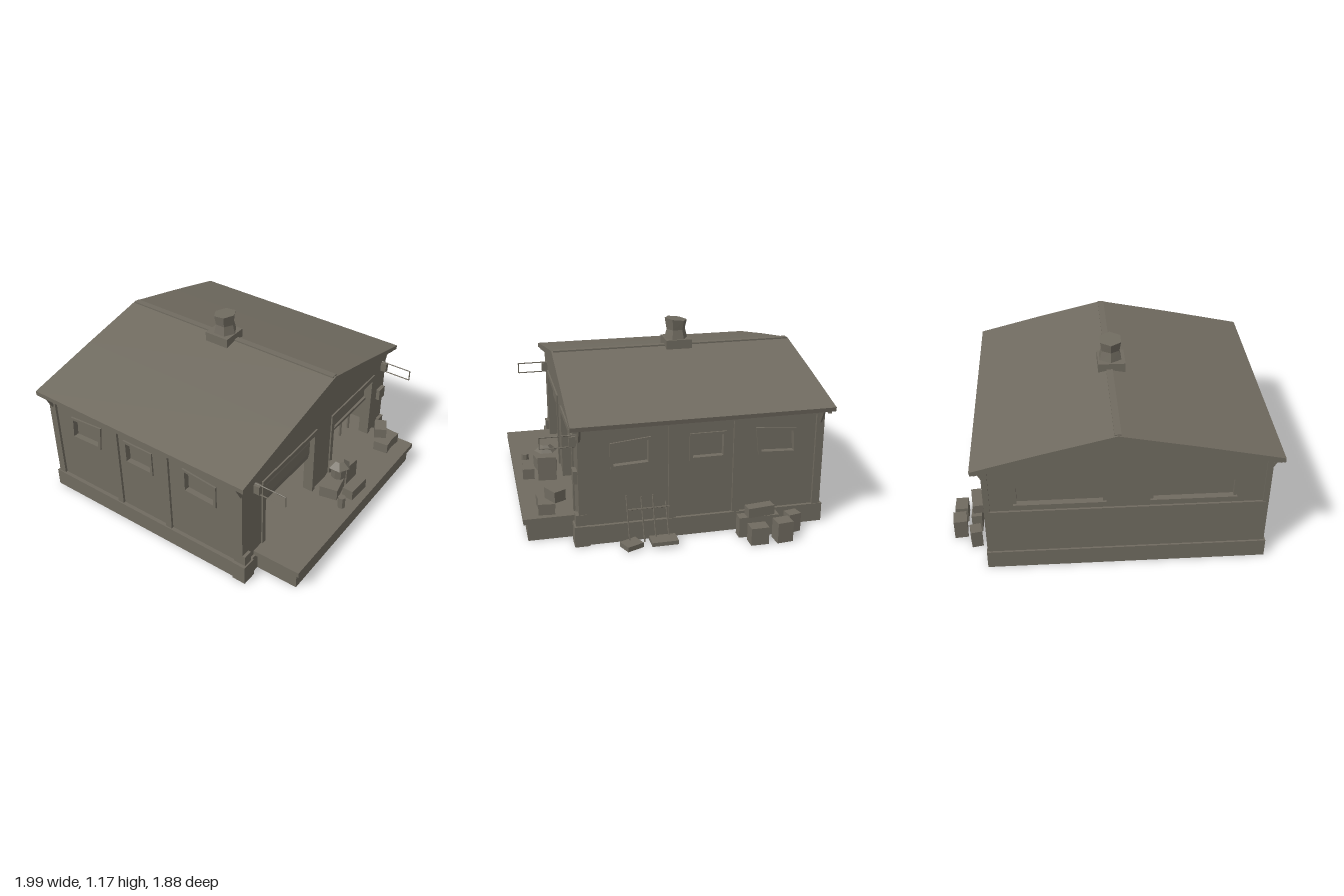
import * as THREE from 'three';

export function createModel() {
  const root = new THREE.Group();
  root.name = 'workshop';
  const stone = new THREE.MeshStandardMaterial({ color: 0x706b60, flatShading: true });
  stone.name = 'weathered grey brown';

  const add = (name, geo, parent = root) => {
    const m = new THREE.Mesh(geo, stone);
    m.name = name;
    parent.add(m);
    return m;
  };
  // box given by its limits on each axis
  const box = (name, x0, x1, y0, y1, z0, z1, parent) => {
    const m = add(name, new THREE.BoxGeometry(x1 - x0, y1 - y0, z1 - z0), parent);
    m.position.set((x0 + x1) / 2, (y0 + y1) / 2, (z0 + z1) / 2);
    return m;
  };
  // round bar between two points
  const bar = (name, a, b, r, parent) => {
    const p = new THREE.Vector3(...a), q = new THREE.Vector3(...b);
    const m = add(name, new THREE.CylinderGeometry(r, r, p.distanceTo(q), 5), parent);
    m.position.copy(p).add(q).multiplyScalar(0.5);
    m.quaternion.setFromUnitVectors(new THREE.Vector3(0, 1, 0), q.sub(p).normalize());
    return m;
  };
  const poly = (pts) => pts.map(([x, y]) => new THREE.Vector2(x, y));
  const rect = (u0, u1, v0, v1) => [[u0, v0], [u1, v0], [u1, v1], [u0, v1]];
  const plate = (outline, holes, depth) => {
    const s = new THREE.Shape(poly(outline));
    holes.forEach((h) => s.holes.push(new THREE.Path(poly(h))));
    return new THREE.ExtrudeGeometry(s, { depth, bevelEnabled: false });
  };

  // base and front platform
  box('plinth', -0.955, 0.76, 0, 0.12, -0.91, 0.635);
  box('platformBase', -0.81, 0.63, 0, 0.12, 0.6, 0.915);
  box('platformSlab', -0.83, 0.645, 0.115, 0.15, 0.6, 0.94);
  box('insideFloor', -0.91, 0.72, 0.1, 0.15, -0.87, 0.61);
  for (const [x0, x1] of [[-0.965, -0.87], [0.68, 0.775]]) {
    box('cornerBlock', x0, x1, 0, 0.13, 0.56, 0.65);
    box('cornerFoot', x0 + 0.02, x1 - 0.015, 0.12, 0.2, 0.575, 0.64);
  }

  // gabled front and back walls
  const gable = [[-0.93, 0.1], [0.74, 0.1], [0.74, 0.77], [-0.03, 0.965], [-0.93, 0.775]];
  const doors = [[-0.72, -0.18, 0.61], [0.06, 0.56, 0.6]];
  const front = add('frontWall', plate(gable, doors.map(([a, b, t]) => rect(a, b, 0.15, t)), 0.06));
  front.position.z = 0.56;
  const backWindows = [[-0.73, -0.25], [0.05, 0.56]];
  const back = add('backWall', plate(gable, backWindows.map(([a, b]) => rect(a, b, 0.48, 0.6)), 0.04));
  back.position.z = -0.885;
  box('backLowerPanel', -0.935, 0.745, 0.1, 0.43, -0.898, -0.88);
  for (const [a, b] of backWindows) {
    box('backWindowPane', a - 0.01, b + 0.01, 0.47, 0.61, -0.86, -0.852);
    box('backWindowSill', a - 0.02, b + 0.02, 0.46, 0.48, -0.9, -0.87);
  }

  // door frames and half-raised doors
  for (const [a, b, t] of doors) {
    add('doorFrame', plate(
      [[a - 0.03, 0.15], [a, 0.15], [a, t], [b, t], [b, 0.15], [b + 0.03, 0.15], [b + 0.03, t + 0.035], [a - 0.03, t + 0.035]],
      [], 0.015)).position.z = 0.615;
  }
  const bulge = [[0, 0.4], [0.025, 0.41], [0.035, 0.46], [0.035, 0.54], [0.02, 0.6], [0, 0.63], [-0.02, 0.63], [-0.02, 0.4]];
  const leftRoll = add('raisedDoor', plate(bulge, [], 0.56).rotateY(Math.PI / 2));
  leftRoll.geometry.scale(1, 1, -1);
  leftRoll.geometry.dispose();
  // rolled sheet: the profile runs along x
  leftRoll.geometry = plate(bulge.map(([d, y]) => [d, y]), [], 0.56).rotateY(-Math.PI / 2);
  leftRoll.position.set(-0.17, 0, 0.56);
  box('raisedDoor', 0.05, 0.57, 0.44, 0.62, 0.55, 0.575);
  box('raisedDoorRail', 0.06, 0.56, 0.435, 0.455, 0.565, 0.59);

  // side walls, windows and posts
  const sideWindows = [
    [[0.2, 0.5], [0.41, 0.49], [0.41, 0.615], [0.2, 0.64]],
    rect(-0.26, -0.07, 0.5, 0.635),
    [[-0.71, 0.49], [-0.5, 0.5], [-0.48, 0.64], [-0.7, 0.62]],
  ];
  for (const s of [-1, 1]) {
    const face = s > 0 ? 0.74 : -0.93;
    const side = new THREE.Group();
    side.name = s > 0 ? 'leftSide' : 'rightSide';
    root.add(side);
    const wall = add('sideWall', plate(rect(-0.88, 0.6, 0.1, 0.775), sideWindows, 0.04).rotateY(-Math.PI / 2), side);
    wall.position.x = s > 0 ? face : face + 0.04;
    const span = (d0, d1) => [face + s * d0, face + s * d1].sort((p, q) => p - q);
    for (const w of sideWindows) {
      const c = w.reduce((t, p) => [t[0] + p[0] / 4, t[1] + p[1] / 4], [0, 0]);
      const rim = w.map(([u, v]) => [u + Math.sign(u - c[0]) * 0.018, v + Math.sign(v - c[1]) * 0.018]);
      const frame = add('windowFrame', plate(rim, [w], 0.012).rotateY(-Math.PI / 2), side);
      frame.position.x = s > 0 ? face + 0.011 : face + 0.001;
      box('windowPane', ...span(-0.034, -0.026), 0.48, 0.65, c[0] - 0.13, c[0] + 0.13, side);
    }
    for (const [z, w] of [[0.59, 0.06], [0.055, 0.045], [-0.345, 0.045], [-0.87, 0.05]])
      box('sidePost', ...span(-0.02, 0.016), 0.1, 0.76, z - w / 2, z + w / 2, side);
    box('eaveBeam', ...span(-0.01, 0.025), 0.72, 0.765, -0.88, 0.62, side);
    // struts under the eaves
    for (const z of [0.61, -0.87])
      bar('eaveStrut', [face, 0.65, z], [face + s * 0.055, 0.755, z], 0.012, side);
  }

  // roof slab with a shallow ridge and eave trim
  const roof = add('roof', plate(
    [[-1, 0.755], [-0.03, 0.953], [0.81, 0.745], [0.815, 0.772], [0.4, 0.882], [-0.03, 0.988], [-0.5, 0.893], [-1, 0.785]],
    [], 1.605));
  roof.position.z = -0.94;
  const trim = [[-0.985, 0.738], [-0.03, 0.935], [0.795, 0.728], [0.795, 0.752], [-0.03, 0.96], [-0.985, 0.762]];
  for (const z of [0.625, -0.92]) add('gableTrim', plate(trim, [], 0.022)).position.z = z;
  box('ridgeCap', -0.05, -0.01, 0.965, 0.993, -0.93, 0.655);

  // chimney with a crooked hood
  box('chimneyBase', -0.13, 0.04, 0.93, 1.03, -0.25, -0.08);
  const hood = new THREE.CylinderGeometry(0.075, 0.08, 0.135, 6, 2);
  const hp = hood.attributes.position;
  for (let i = 0; i < hp.count; i++) {
    const y = hp.getY(i);
    if (Math.abs(y) < 0.01) { hp.setX(i, hp.getX(i) * 0.82); hp.setZ(i, hp.getZ(i) * 0.8); }
    if (y > 0.05) hp.setY(i, y - hp.getZ(i) * -0.12);
  }
  add('chimneyHood', hood).position.set(-0.04, 1.09, -0.16);

  // wire sign frames and a wall lamp box
  for (const x of [-0.82, 0.7]) {
    const sign = new THREE.Group();
    sign.name = 'signFrame';
    root.add(sign);
    const c = [[0.62, 0.615], [0.83, 0.615], [0.83, 0.685], [0.62, 0.685]];
    c.forEach(([z, y], i) => {
      const [z2, y2] = c[(i + 1) % 4];
      bar('signBar', [x, y, z], [x, y2, z2], 0.004, sign);
    });
    box('signBracket', x - 0.015, x + 0.015, 0.62, 0.68, 0.61, 0.66, sign);
  }
  box('wallBox', 0.66, 0.735, 0.39, 0.47, 0.61, 0.645);

  // loose crates: centre x, bottom y, centre z, width, height, depth, turn
  const crates = [
    [-0.1, 0.15, 0.73, 0.15, 0.08, 0.12, 0.2], [0.05, 0.15, 0.73, 0.11, 0.16, 0.12, -0.1],
    [-0.02, 0.15, 0.85, 0.165, 0.07, 0.075, -0.05], [0.49, 0.15, 0.79, 0.1, 0.07, 0.1, 0.1],
    [0.56, 0.15, 0.79, 0.1, 0.07, 0.1, -0.1], [0.54, 0.22, 0.735, 0.11, 0.07, 0.08, 0.5],
    [0.84, 0, -0.685, 0.07, 0.12, 0.08, 0.2], [0.945, 0, -0.585, 0.085, 0.13, 0.1, 0.1],
    [0.84, 0, -0.46, 0.065, 0.13, 0.25, 0], [0.945, 0, -0.43, 0.08, 0.11, 0.11, 0],
    [0.84, 0.13, -0.47, 0.065, 0.06, 0.17, 0.12],
  ];
  for (const [x, y, z, w, h, d, turn] of crates) {
    const m = add('crate', new THREE.BoxGeometry(w, h, d));
    m.position.set(x, y + h / 2, z);
    m.rotation.y = turn;
  }
  add('drum', new THREE.CylinderGeometry(0.055, 0.05, 0.09, 8)).position.set(-0.02, 0.27, 0.73);
  add('drumLid', new THREE.CylinderGeometry(0.03, 0.075, 0.04, 6)).position.set(-0.02, 0.335, 0.73);
  add('can', new THREE.CylinderGeometry(0.025, 0.025, 0.08, 7)).position.set(-0.19, 0.19, 0.855);

  // tools leaning on the side wall
  for (const [z, top] of [[0.33, 0.31], [0.24, 0.29], [0.17, 0.3], [0.09, 0.25]])
    bar('toolHandle', [0.83, 0.02, z], [0.775, top, z + 0.01], 0.005);
  bar('toolRail', [0.79, 0.22, 0.08], [0.79, 0.22, 0.34], 0.005);
  box('toolTray', 0.81, 0.905, 0.02, 0.045, 0.05, 0.21);
  const blade = box('toolBlade', 0.81, 0.9, 0.01, 0.04, 0.27, 0.38);
  blade.rotation.y = 0.4;

  // workbenches inside the doorways
  for (const [x0, x1, z0, z1] of [[-0.74, -0.6, 0.1, 0.5], [0.42, 0.56, 0.1, 0.5]]) {
    box('benchTop', x0, x1, 0.36, 0.385, z0, z1);
    for (const x of [x0 + 0.015, x1 - 0.015])
      for (const z of [z0 + 0.02, z1 - 0.02]) bar('benchLeg', [x, 0.15, z], [x, 0.37, z], 0.01);
  }
  return root;
}
